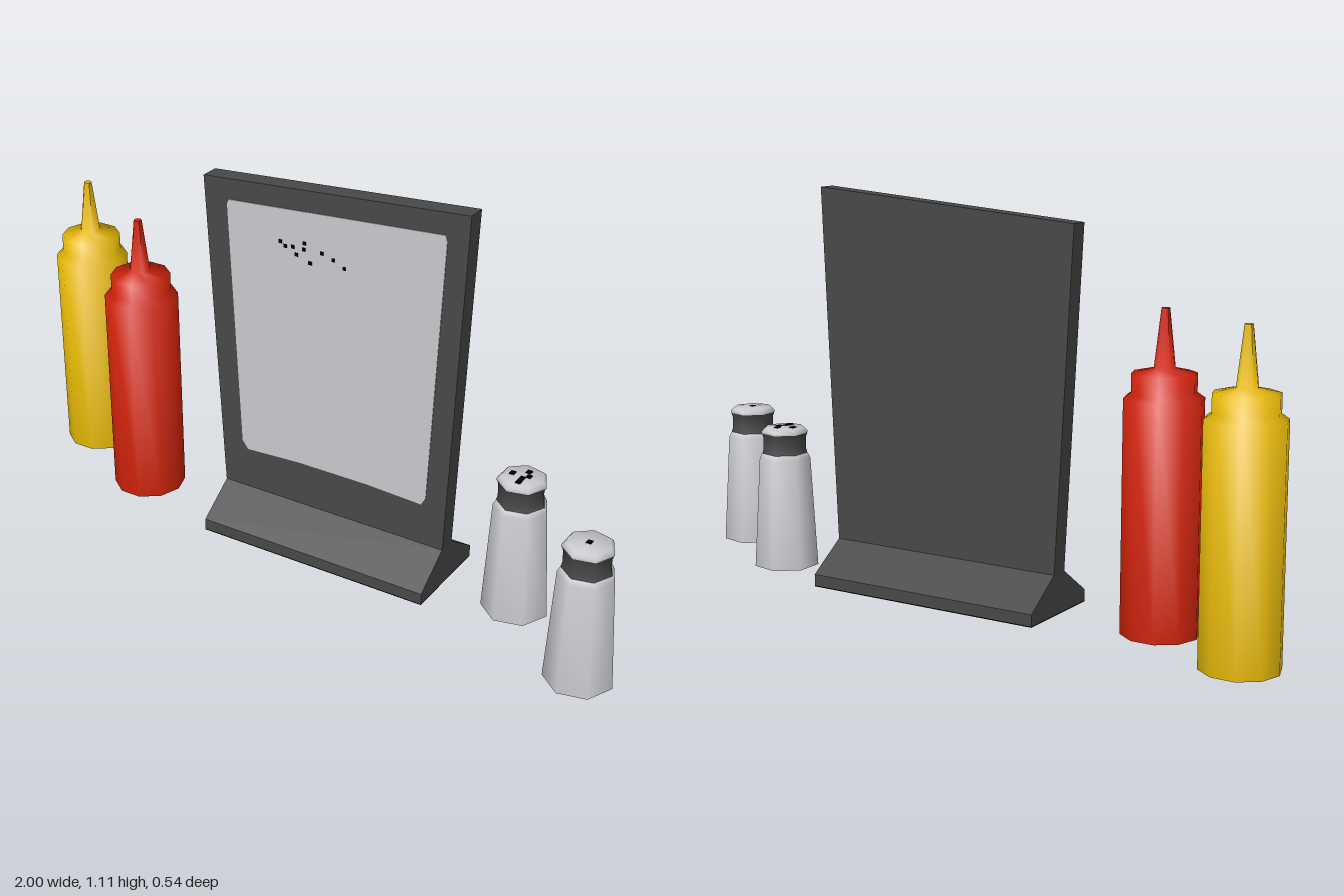
import * as THREE from 'three';
import { toCreasedNormals } from 'three/addons/utils/BufferGeometryUtils.js';

const mat = (name, color) => new THREE.MeshStandardMaterial({ name, color });

// Turned part with few sides, one corner pointing to +x, softly shaded
function turned(name, profile, sides, material) {
  const pts = profile.map(([r, y]) => new THREE.Vector2(r, y));
  const geo = new THREE.LatheGeometry(pts, sides, Math.PI / 2);
  const mesh = new THREE.Mesh(toCreasedNormals(geo, 1.42), material);
  mesh.name = name;
  return mesh;
}

// Straight extrusion of an outline
function slab(name, outline, depth, material) {
  const shape = new THREE.Shape(outline.map(([x, y]) => new THREE.Vector2(x, y)));
  const geo = new THREE.ExtrudeGeometry(shape, { depth, bevelEnabled: false });
  const mesh = new THREE.Mesh(geo, material);
  mesh.name = name;
  return mesh;
}

function block(name, size, position, material) {
  const mesh = new THREE.Mesh(new THREE.BoxGeometry(...size), material);
  mesh.name = name;
  mesh.position.set(...position);
  return mesh;
}

// Body, sloped shoulder, cap and nozzle in one profile
function squeezeBottle(name, x, z, material) {
  const bottle = turned(name, [
    [0, 0], [0.105, 0], [0.105, 0.62], [0.085, 0.634], [0.085, 0.684],
    [0.028, 0.697], [0.011, 0.85], [0, 0.85]
  ], 10, material);
  bottle.position.set(x, 0, z);
  return bottle;
}

function shaker(name, x, z, holes, light, dark, black) {
  const g = new THREE.Group();
  g.name = name;
  g.add(
    turned('shakerBody', [[0, 0], [0.094, 0], [0.075, 0.32], [0.067, 0.335], [0, 0.335]], 7, light),
    turned('shakerNeck', [[0.067, 0.334], [0.063, 0.347], [0.063, 0.382], [0.067, 0.394]], 7, dark),
    turned('shakerLid', [[0, 0.394], [0.068, 0.394], [0.068, 0.401], [0.06, 0.409], [0, 0.412]], 7, light)
  );
  // Pouring holes in the lid
  for (const [hx, hz] of holes) {
    g.add(block('pouringHole', [0.014, 0.004, 0.016], [hx, 0.411, hz], black));
  }
  g.position.set(x, 0, z);
  return g;
}

export function createModel() {
  const yellow = mat('mustardYellow', 0xe2b607);
  const red = mat('ketchupRed', 0xcc220a);
  const charcoal = mat('charcoal', 0x484848);
  const light = mat('paleGrey', 0xc9c8ce);
  const black = mat('black', 0x000000);

  const model = new THREE.Group();
  model.name = 'tableCondimentSet';

  // Menu stand: leaning outline, slightly wider at the top
  const stand = new THREE.Group();
  stand.name = 'menuStand';
  const board = slab('board', [[-0.3, 0.003], [0.41, 0.003], [0.41, 0.11], [0.457, 1.113], [-0.35, 1.05], [-0.3, 0.11]], 0.054, charcoal);
  board.position.z = -0.049;

  // Sloped foot, extruded along x, with a black underside
  const foot = slab('foot', [[-0.118, 0.003], [0.165, 0.003], [0.165, 0.035], [0.049, 0.114], [-0.005, 0.114], [-0.118, 0.035]], 0.71, charcoal);
  foot.rotation.y = Math.PI / 2;
  foot.position.x = -0.3;
  const underside = block('footUnderside', [0.71, 0.003, 0.283], [0.055, 0.0015, -0.0235], black);

  // Menu sheet on the front
  const sheet = slab('menuSheet', [
    [-0.24, 0.262], [-0.222, 0.238], [-0.05, 0.247], [0.17, 0.247], [0.342, 0.239],
    [0.355, 0.262], [0.393, 1.03], [0.388, 1.046], [-0.268, 0.997], [-0.275, 0.985]
  ], 0.003, light);
  sheet.position.z = 0.004;
  stand.add(board, foot, underside, sheet);

  // Small specks near the top of the sheet
  const specks = [
    [-0.105, 0.914], [-0.09, 0.904], [-0.066, 0.907], [-0.055, 0.887], [-0.03, 0.925],
    [-0.032, 0.907], [-0.012, 0.872], [0.024, 0.909], [0.06, 0.898], [0.094, 0.882]
  ];
  for (const [x, y] of specks) {
    stand.add(block('speck', [0.01, 0.01, 0.002], [x, y, 0.0075], black));
  }

  model.add(
    stand,
    squeezeBottle('yellowBottle', -0.895, -0.17, yellow),
    squeezeBottle('redBottle', -0.602, -0.023, red),
    shaker('innerShaker', 0.628, -0.015, [[-0.03, 0], [0.006, -0.025], [0.016, -0.004], [0.004, 0.012], [0.004, 0.032]], light, charcoal, black),
    shaker('outerShaker', 0.906, 0.18, [[0, 0]], light, charcoal, black)
  );
  return model;
}
